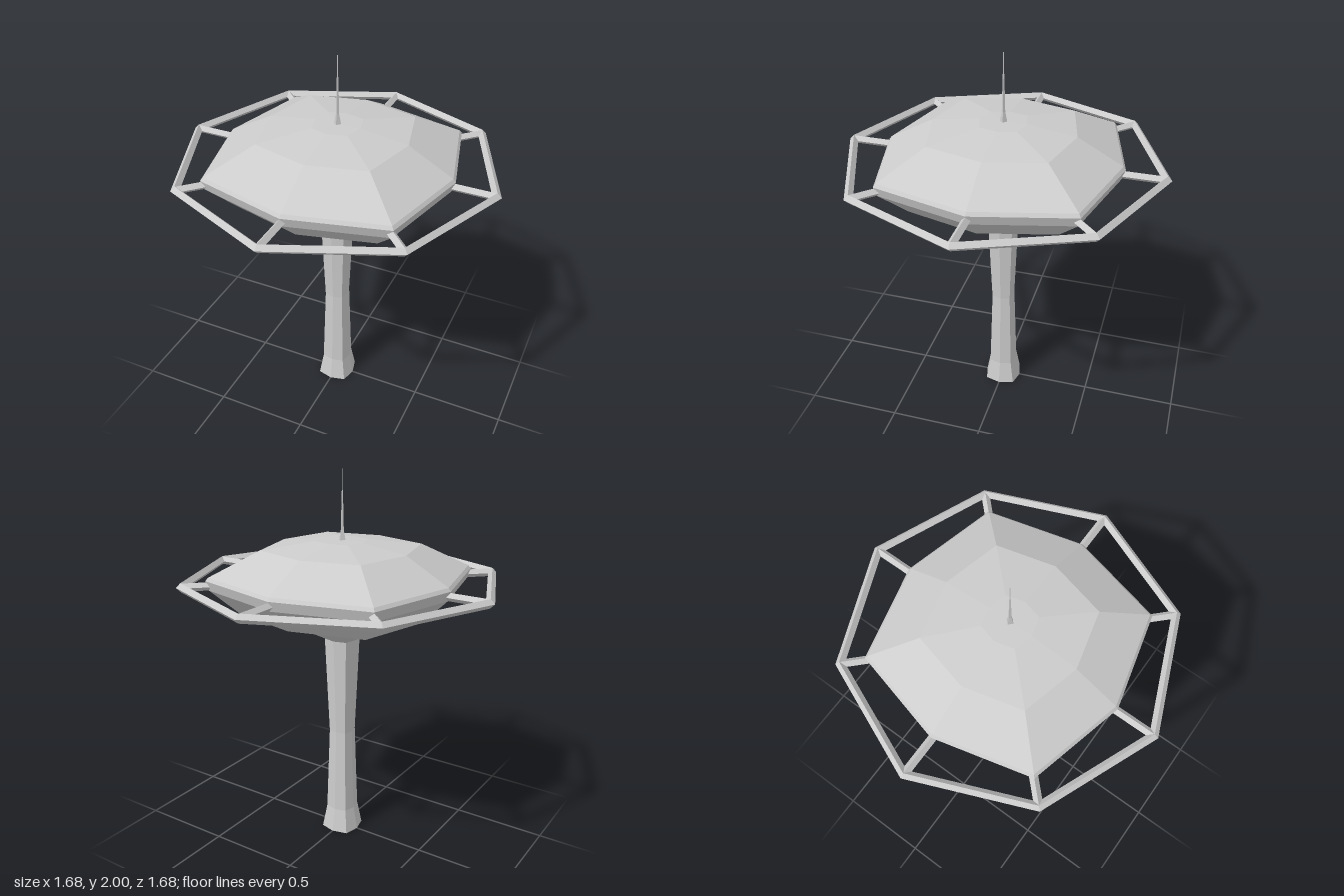
import * as THREE from 'three';

const material = new THREE.MeshStandardMaterial({ color: 0xcccccc, flatShading: true });

function addMesh(parent, name, geometry) {
  const mesh = new THREE.Mesh(geometry, material);
  mesh.name = name;
  parent.add(mesh);
  return mesh;
}

// Faceted solid of revolution; diagonal corners are pushed out by the given factor
function facetedLathe(profile, sides, diagonal = 1) {
  const geometry = new THREE.LatheGeometry(profile.map(([r, y]) => new THREE.Vector2(r, y)), sides);
  const p = geometry.attributes.position;
  for (let i = 0; i < p.count; i++) {
    const x = p.getX(i), z = p.getZ(i);
    if (Math.min(Math.abs(x), Math.abs(z)) > 0.001) p.setXYZ(i, x * diagonal, p.getY(i), z * diagonal);
  }
  geometry.computeVertexNormals();
  return geometry;
}

export function createModel() {
  const model = new THREE.Group();
  model.name = 'observationTower';
  const ringY = 1.443, ringRadius = 0.817, barRadius = 0.023;

  // Waisted column with flared foot
  addMesh(model, 'column', facetedLathe(
    [[0, 0], [0.1, 0], [0.077, 0.13], [0.062, 0.6], [0.083, 1.13]], 8, 1.13));

  // Saucer: sloped underside, thin rim, shallow dome
  addMesh(model, 'saucer', facetedLathe(
    [[0, 1.13], [0.083, 1.13], [0.23, 1.21], [0.468, 1.29], [0.6, 1.42],
      [0.615, 1.47], [0.602, 1.487], [0.37, 1.613], [0.12, 1.648], [0, 1.65]], 8, 1.13));

  // Antenna spike
  addMesh(model, 'antenna', facetedLathe(
    [[0.02, 1.645], [0.009, 1.7], [0.004, 1.89], [0.002, 1.9], [0.002, 2], [0, 2]], 4));

  // Octagonal outer ring of diamond section
  const ring = new THREE.TorusGeometry(ringRadius, barRadius, 4, 8);
  ring.rotateX(Math.PI / 2);
  addMesh(model, 'outerRing', ring).position.y = ringY;

  // Spokes joining saucer and ring
  const spokes = new THREE.Group();
  spokes.name = 'spokes';
  spokes.position.y = ringY;
  const inner = 0.57, outer = 0.812;
  const bar = new THREE.CylinderGeometry(0.021, 0.021, outer - inner, 4);
  bar.rotateZ(Math.PI / 2);
  bar.translate((inner + outer) / 2, 0, 0);
  for (let i = 0; i < 8; i++) addMesh(spokes, 'spoke', bar).rotation.y = (i * Math.PI) / 4;
  model.add(spokes);

  return model;
}
